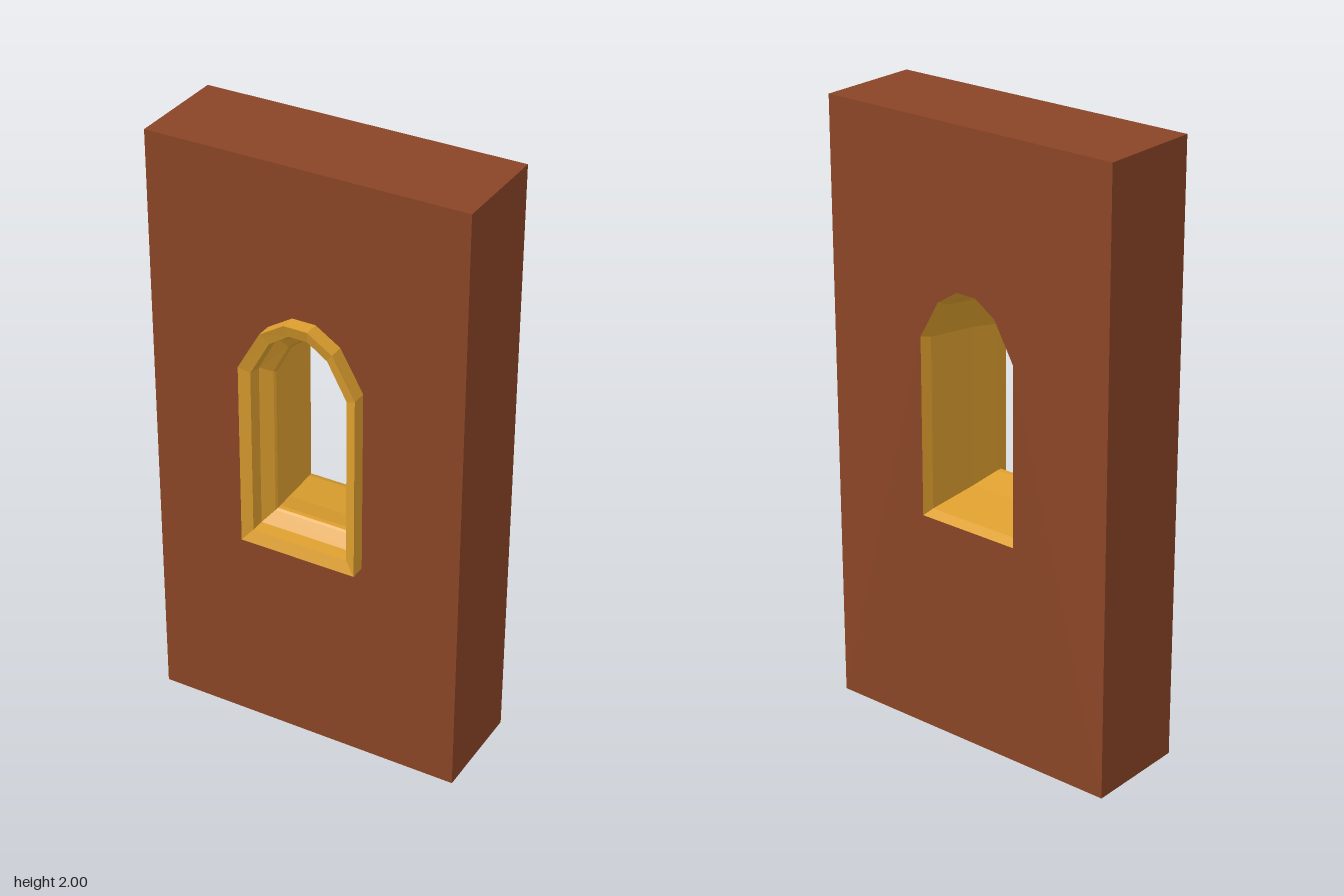
import * as THREE from 'three';

const brick = new THREE.MeshStandardMaterial({ color: 0x8a4526 });
brick.name = 'brickBrown';
const ochre = new THREE.MeshStandardMaterial({ color: 0xdc9e2e, flatShading: true });
ochre.name = 'ochreTrim';

const mix = THREE.MathUtils.lerp;

// Pointed-round window outline, counter-clockwise; k = 0 is the outer trim, k = 1 the narrow opening
function archPoints(k) {
  const half = [
    [mix(0.197, 0.12, k), mix(0.71, 0.80, k)],
    [mix(0.197, 0.12, k), mix(1.33, 1.29, k)],
    [mix(0.121, 0.068, k), mix(1.463, 1.39, k)],
    [mix(0.039, 0.022, k), mix(1.515, 1.425, k)],
  ];
  const mirrored = half.map(([x, y]) => [-x, y]).reverse();
  return [...half, ...mirrored].map(([x, y]) => new THREE.Vector2(x, y));
}

// Skin a list of [k, z] arch outlines into one open surface
function loftArches(profile) {
  const rings = profile.map(([k, z]) => archPoints(k).map(p => [p.x, p.y, z]));
  const pos = [];
  for (let r = 0; r < rings.length - 1; r++) {
    const n = rings[r].length;
    for (let i = 0; i < n; i++) {
      const j = (i + 1) % n;
      const a = rings[r][i], b = rings[r][j], c = rings[r + 1][i], d = rings[r + 1][j];
      pos.push(...a, ...b, ...c, ...b, ...d, ...c);
    }
  }
  const geo = new THREE.BufferGeometry();
  geo.setAttribute('position', new THREE.Float32BufferAttribute(pos, 3));
  geo.computeVertexNormals();
  return geo;
}

export function createModel() {
  const group = new THREE.Group();
  group.name = 'archedWindowWall';

  // Wall slab with the window cut through it
  const backZ = -0.197, frontZ = 0.146, backK = 0.25;
  const slab = new THREE.Shape([
    new THREE.Vector2(-0.525, 0), new THREE.Vector2(0.525, 0),
    new THREE.Vector2(0.525, 2), new THREE.Vector2(-0.525, 2),
  ]);
  slab.holes.push(new THREE.Path(archPoints(backK).reverse()));
  const wallGeo = new THREE.ExtrudeGeometry(slab, { depth: frontZ - backZ, bevelEnabled: false });
  wallGeo.translate(0, 0, backZ);
  const wall = new THREE.Mesh(wallGeo, brick);
  wall.name = 'wall';
  group.add(wall);

  // Raised trim around the front of the opening
  const trim = new THREE.Mesh(loftArches([
    [0, frontZ], [0, 0.196], [0.45, 0.182], [0.5, 0.14],
  ]), ochre);
  trim.name = 'windowTrim';
  group.add(trim);

  // Stepped lip, then the reveal splaying out to the back face
  const reveal = new THREE.Mesh(loftArches([
    [0.5, 0.14], [0.94, 0.112], [1, 0.105], [1, 0.09],
    [0.72, 0], [0.42, -0.165], [backK, backZ],
  ]), ochre);
  reveal.name = 'windowReveal';
  group.add(reveal);

  return group;
}
